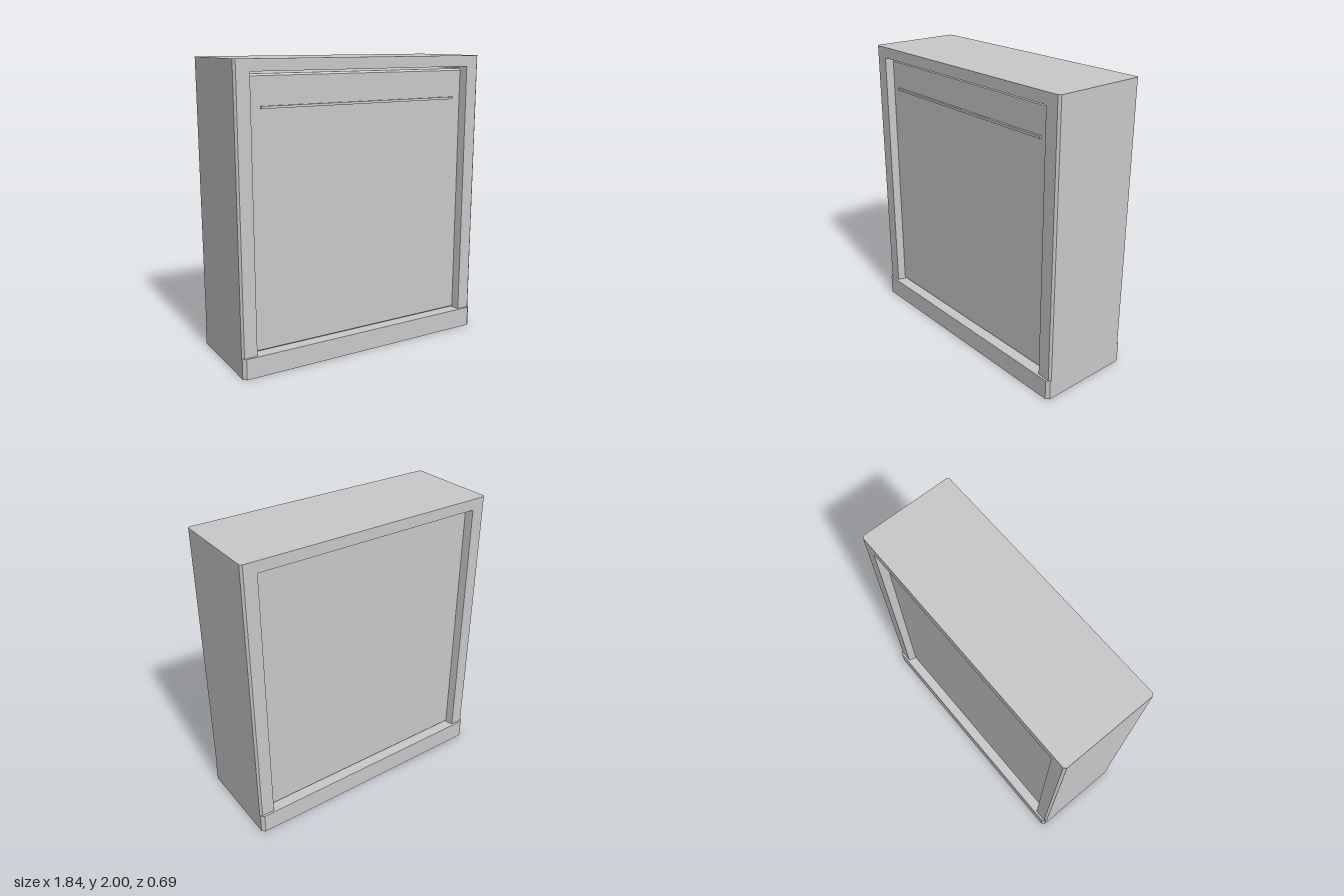
import * as THREE from 'three';

const X = 0.92;      // half width
const TOP = 1.925;   // upper edge of the openings
const BASE = 0.14;   // plinth height

export function createModel() {
  const group = new THREE.Group();
  group.name = 'cabinet';
  const grey = new THREE.MeshStandardMaterial({ color: 0xc8c8c8 });
  grey.name = 'light grey';

  const add = (name, geometry) => {
    const mesh = new THREE.Mesh(geometry, grey);
    mesh.name = name;
    group.add(mesh);
    return mesh;
  };
  const extrude = (points, depth) => new THREE.ExtrudeGeometry(
    new THREE.Shape(points.map(([x, y]) => new THREE.Vector2(x, y))),
    { depth, bevelEnabled: false });
  // Plan outline raised from y0 to y1
  const raise = (points, y0, y1) =>
    extrude(points, y1 - y0).rotateX(-Math.PI / 2).translate(0, y0, 0);
  // Rectangle with cut corners
  const cutRect = (x, z, cx, cz) => [
    [x, -z + cz], [x, z - cz], [x - cx, z], [-x + cx, z],
    [-x, z - cz], [-x, -z + cz], [-x + cx, -z], [x - cx, -z],
  ];

  // Plinth and top
  add('plinth', raise(cutRect(X, 0.345, 0.022, 0.02), 0, BASE));
  add('top', raise(cutRect(X, 0.33, 0.014, 0.014), TOP, 2));

  // Side posts with splayed inner reveals
  const post = [
    [X, -0.316], [X, 0.316], [X - 0.014, 0.33], [0.817, 0.33],
    [0.803, 0.275], [0.803, -0.275], [0.817, -0.33], [X - 0.014, -0.33],
  ];
  for (const s of [1, -1]) {
    add(s > 0 ? 'leftPost' : 'rightPost',
      raise(post.map(([x, z]) => [s * x, z]), BASE, TOP));
  }

  // Recessed panel block, bevelled above and below, leaving a slot under the top
  const section = [
    [0.262, BASE], [0.275, 0.15], [0.275, 1.897], [0.26, 1.91],
    [-0.26, 1.91], [-0.275, 1.897], [-0.275, 0.15], [-0.262, BASE],
  ];
  add('panels', extrude(section, 1.61).rotateY(Math.PI / 2).translate(-0.805, 0, 0));

  // Narrow rail across the front panel
  add('frontRail', new THREE.BoxGeometry(1.46, 0.016, 0.024)).position.set(0, 1.708, 0.278);

  return group;
}
